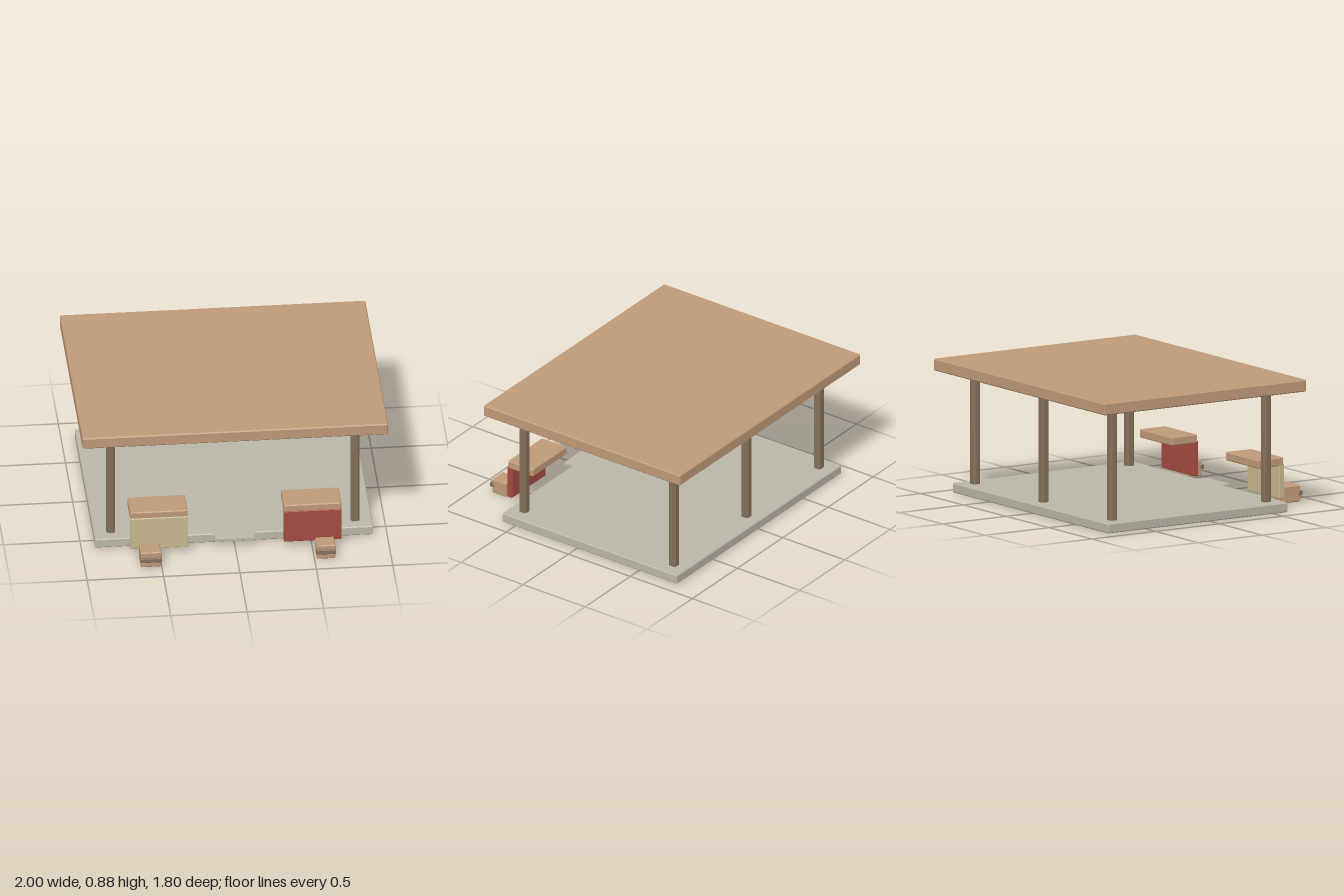
import * as THREE from 'three';
import { ConvexGeometry } from 'three/addons/geometries/ConvexGeometry.js';

const material = (color) => new THREE.MeshStandardMaterial({ color, flatShading: true });

// Box with chamfered edges, given by its [min, max] range on each axis
function chamferedBox(name, mat, xr, yr, zr, bevel = 0.006) {
  const ranges = [xr, yr, zr];
  const half = ranges.map(([a, b]) => (b - a) / 2);
  const points = [];
  for (const sx of [-1, 1]) for (const sy of [-1, 1]) for (const sz of [-1, 1]) {
    // each corner becomes three points, one on each adjoining face
    for (let face = 0; face < 3; face++) {
      const [x, y, z] = half.map((h, i) => (i === face ? h : h - bevel));
      points.push(new THREE.Vector3(sx * x, sy * y, sz * z));
    }
  }
  const mesh = new THREE.Mesh(new ConvexGeometry(points), mat);
  mesh.name = name;
  mesh.position.set(...ranges.map(([a, b]) => (a + b) / 2));
  return mesh;
}

export function createModel() {
  const model = new THREE.Group();
  model.name = 'openPavilion';

  const wood = material(0xbf9a78);
  const darkWood = material(0x85705a);
  const stone = material(0xb9b6a8);
  const cream = material(0xc8b890);
  const red = material(0xa54a40);

  // Floor slab, front step and roof
  model.add(
    chamferedBox('floor', stone, [-0.91, 0.91], [0.003, 0.067], [-0.812, 0.602]),
    chamferedBox('frontStep', stone, [-0.133, 0.13], [0.043, 0.068], [0.57, 0.67], 0.002),
    chamferedBox('roof', wood, [-1, 1], [0.806, 0.885], [-0.9, 0.686], 0.007),
  );

  // Posts: three along the back, two at the front corners
  const posts = [[-0.8, -0.707], [0, -0.707], [0.8, -0.707], [-0.8, 0.5], [0.8, 0.5]];
  for (const [x, z] of posts) {
    model.add(chamferedBox('post', darkWood,
      [x - 0.028, x + 0.028], [0, 0.808], [z - 0.028, z + 0.028], 0.011));
  }

  // Two counters: a shelf with a hanging coloured front panel
  for (const [side, mat] of [[-1, cream], [1, red]]) {
    const x = side * 0.503;
    const counter = new THREE.Group();
    counter.name = side < 0 ? 'rightCounter' : 'leftCounter';
    counter.add(
      chamferedBox('counterShelf', wood, [x - 0.188, x + 0.188], [0.266, 0.322], [0.51, 0.713]),
      chamferedBox('counterPanel', mat, [x - 0.188, x + 0.188], [0.05, 0.278], [0.68, 0.72], 0.004),
    );
    model.add(counter);
  }

  // Small crates in front, each with a dark slat across its face
  const crates = [
    { name: 'rightCrate', x: -0.57, width: 0.134, top: 0.114, back: 0.755 },
    { name: 'leftCrate', x: 0.575, width: 0.122, top: 0.105, back: 0.768 },
  ];
  for (const { name, x, width, top, back } of crates) {
    const w = width / 2;
    const crate = new THREE.Group();
    crate.name = name;
    crate.add(
      chamferedBox('crateBody', wood, [x - w, x + w], [0.004, top], [back, 0.882]),
      chamferedBox('crateSlat', darkWood, [x - w - 0.003, x + w + 0.003], [0.045, 0.077], [0.868, 0.897], 0.004),
    );
    model.add(crate);
  }

  return model;
}
